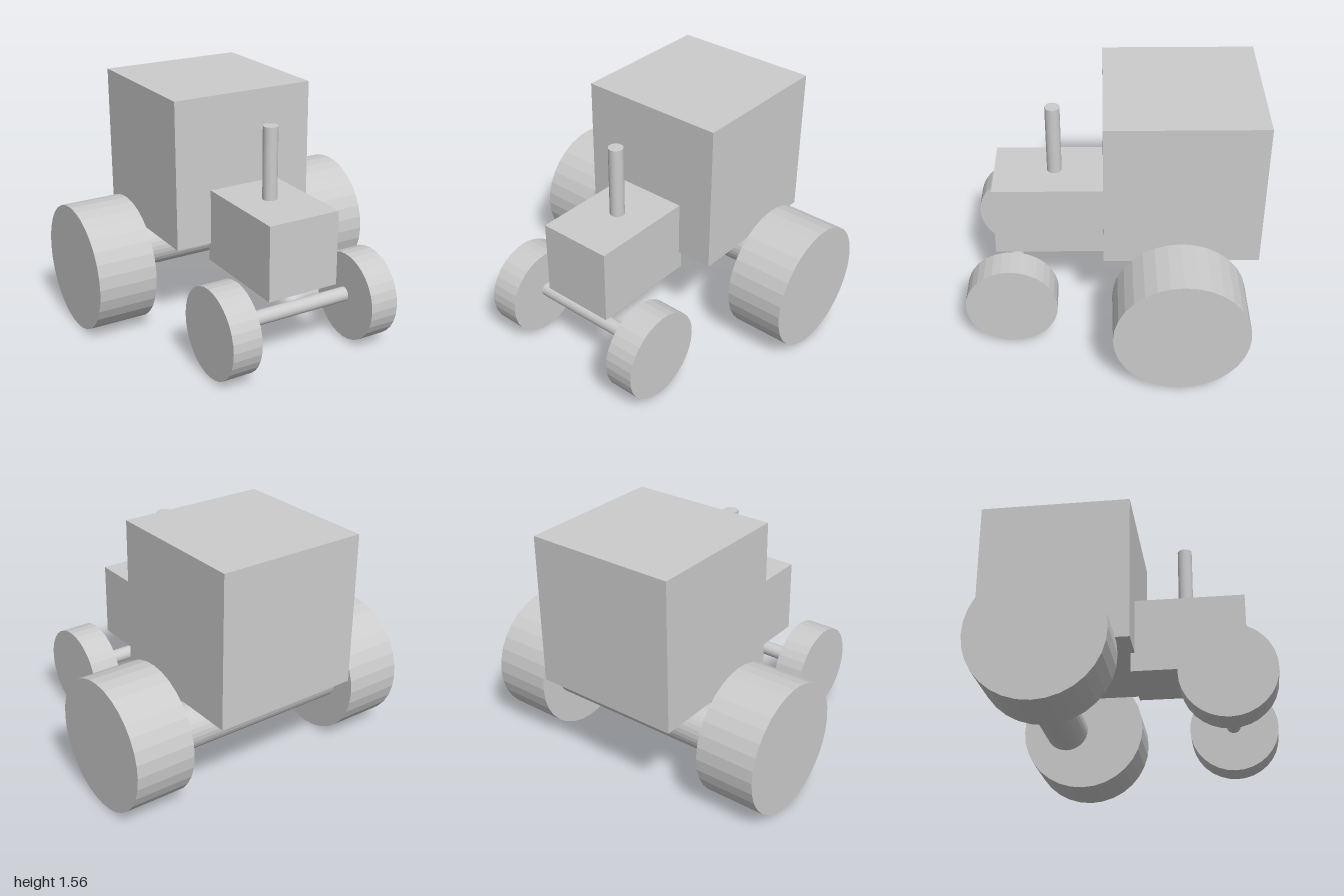
import * as THREE from 'three';

const material = new THREE.MeshStandardMaterial({ color: 0xcccccc, flatShading: true });

export function createModel() {
  const model = new THREE.Group();
  model.name = 'tractor';

  const add = (name, geometry, x, y, z) => {
    const mesh = new THREE.Mesh(geometry, material);
    mesh.name = name;
    mesh.position.set(x, y, z);
    model.add(mesh);
    return mesh;
  };

  // Cylinder lying along x
  const roller = (name, radius, width, x, y, z) =>
    add(name, new THREE.CylinderGeometry(radius, radius, width, 32).rotateZ(Math.PI / 2), x, y, z);

  // Body
  add('cab', new THREE.BoxGeometry(0.97, 0.97, 0.97), 0, 1.075, -0.435);
  add('hood', new THREE.BoxGeometry(0.486, 0.485, 0.72), 0, 0.708, 0.385);
  add('exhaustPipe', new THREE.CylinderGeometry(0.047, 0.047, 0.52, 32), 0, 1.158, 0.36);

  // Axles, the thick rear one set a little behind the wheel centres
  roller('rearAxle', 0.146, 1.24, 0, 0.415, -0.53);
  roller('frontAxle', 0.047, 0.82, 0, 0.312, 0.627);

  // Wheels
  for (const [side, s] of [['left', 1], ['right', -1]]) {
    roller(side + 'RearWheel', 0.413, 0.388, s * 0.806, 0.414, -0.416);
    roller(side + 'FrontWheel', 0.29, 0.194, s * 0.493, 0.3, 0.63);
  }

  return model;
}
